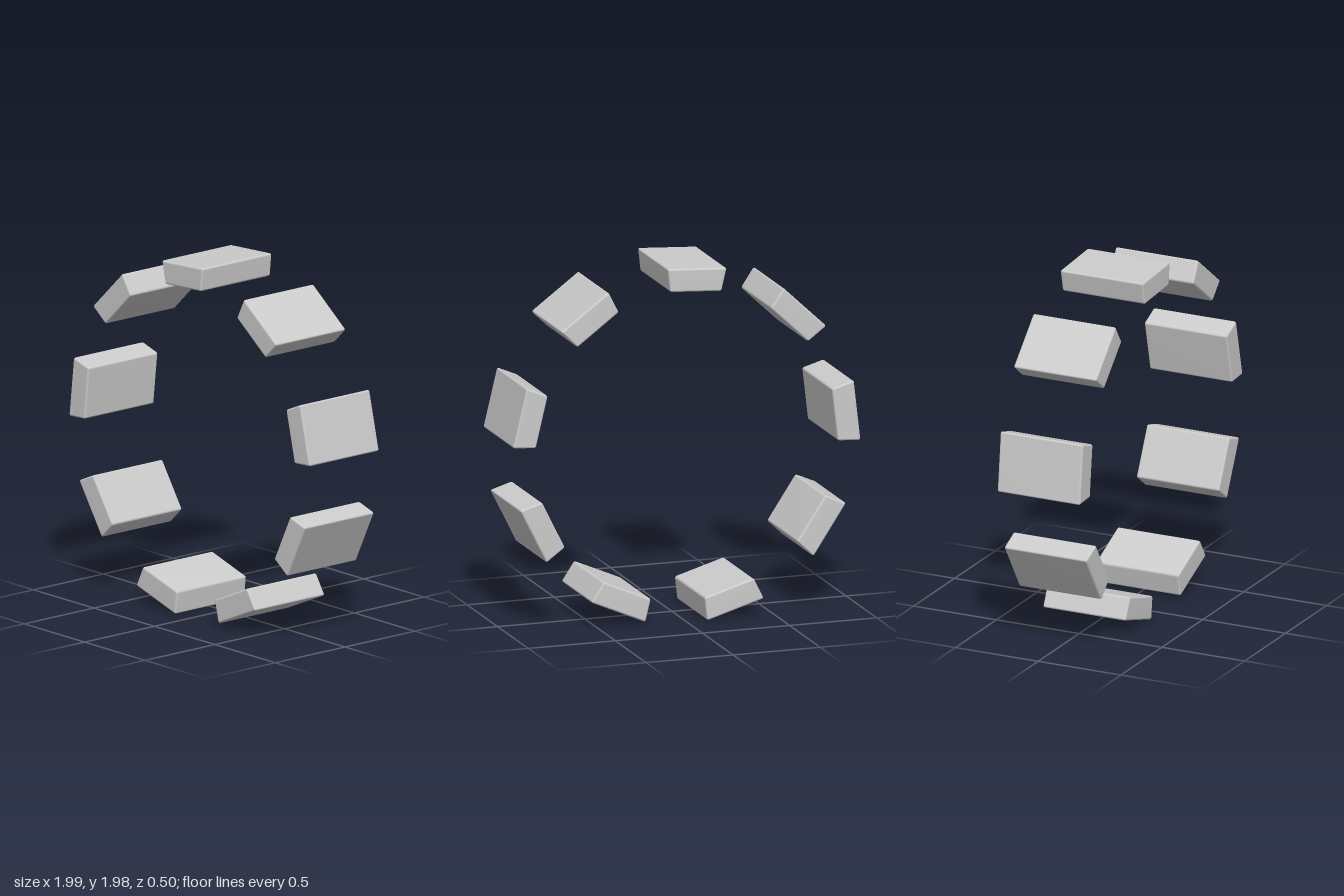
import * as THREE from 'three';
import { RoundedBoxGeometry } from 'three/addons/geometries/RoundedBoxGeometry.js';
import { mergeVertices } from 'three/addons/utils/BufferGeometryUtils.js';

const COUNT = 9;
const OUTER = 0.985; // distance from ring centre to a block's outer face
const THICK = 0.13;
const CENTRE_Y = 0.995;
const FIRST_ANGLE = THREE.MathUtils.degToRad(3.5);

// Softly bevelled block whose ends taper toward the ring centre
function blockGeometry() {
  const box = new RoundedBoxGeometry(0.34, THICK, 0.5, 3, 0.012);
  box.deleteAttribute('normal');
  box.deleteAttribute('uv');
  box.clearGroups();
  const p = box.attributes.position;
  for (let i = 0; i < p.count; i++) {
    const radius = OUTER - THICK / 2 + p.getY(i);
    p.setX(i, p.getX(i) * radius / OUTER);
  }
  const geometry = mergeVertices(box, 1e-5);
  geometry.computeVertexNormals();
  return geometry;
}

export function createModel() {
  const model = new THREE.Group();
  model.name = 'blockRing';
  const geometry = blockGeometry();
  const material = new THREE.MeshStandardMaterial({ color: 0xcccccc });

  // Blocks spaced evenly around the upright ring
  for (let i = 0; i < COUNT; i++) {
    const a = FIRST_ANGLE + (i / COUNT) * Math.PI * 2;
    const r = OUTER - THICK / 2;
    const block = new THREE.Mesh(geometry, material);
    block.name = `ringBlock${i + 1}`;
    block.position.set(-Math.sin(a) * r, CENTRE_Y + Math.cos(a) * r, 0);
    block.rotation.z = a;
    model.add(block);
  }
  return model;
}
